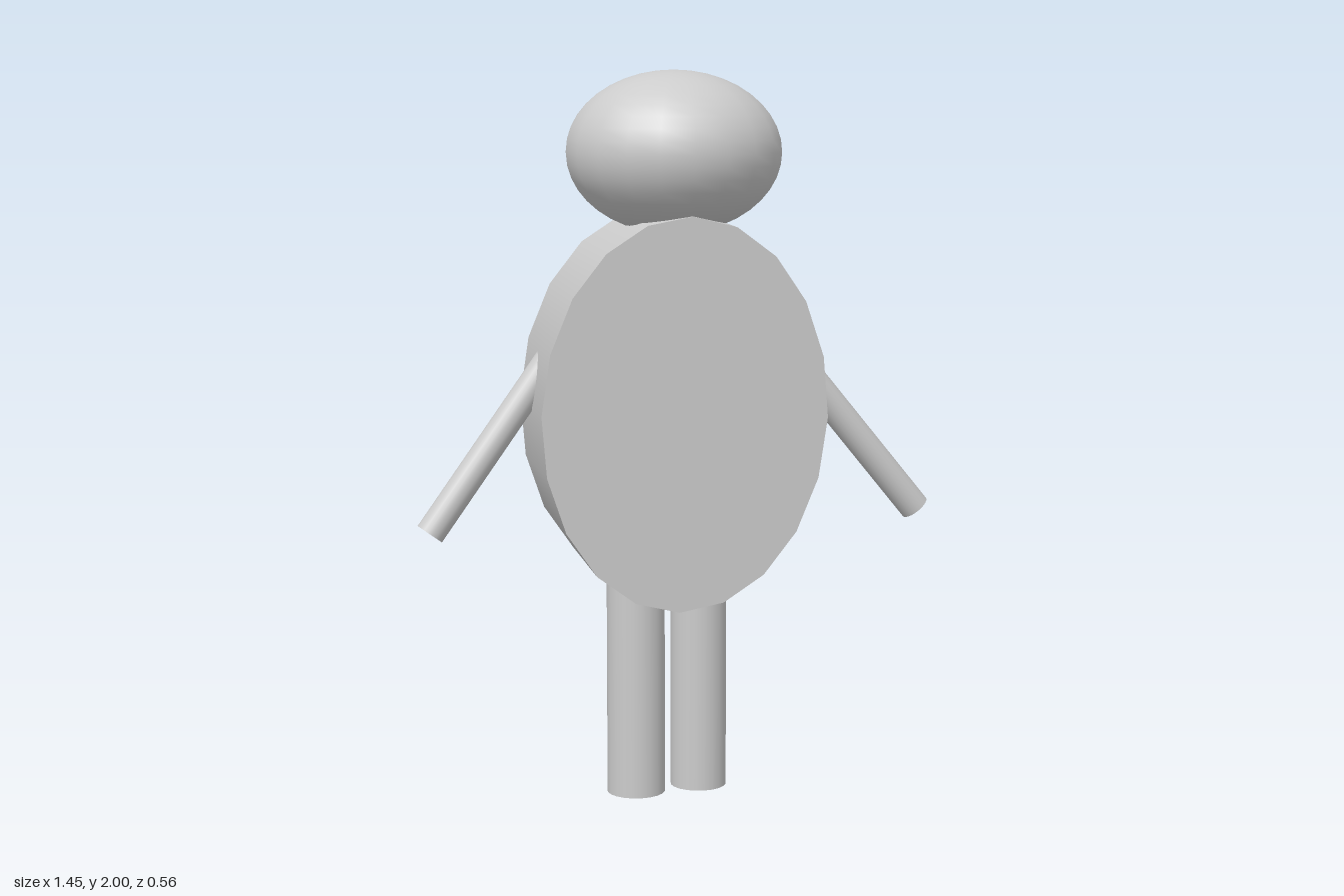
import * as THREE from 'three';

const SIDES = 20;
const material = new THREE.MeshStandardMaterial({ color: 0xcccccc });

function addMesh(group, name, geometry) {
  const mesh = new THREE.Mesh(geometry, material);
  mesh.name = name;
  group.add(mesh);
  return mesh;
}

// Round limb running between two points
function addLimb(group, name, from, to, radius) {
  const a = new THREE.Vector3(...from);
  const b = new THREE.Vector3(...to);
  const limb = addMesh(group, name, new THREE.CylinderGeometry(radius, radius, a.distanceTo(b), SIDES));
  limb.position.copy(a).add(b).multiplyScalar(0.5);
  limb.quaternion.setFromUnitVectors(new THREE.Vector3(0, 1, 0), a.sub(b).normalize());
}

export function createModel() {
  const model = new THREE.Group();
  model.name = 'figure';

  // Flat-faced oval body, leaning slightly forward and sideways
  const drum = new THREE.CylinderGeometry(1, 1, 1, SIDES);
  drum.rotateX(Math.PI / 2);
  drum.scale(0.392, 0.536, 0.376);
  const body = addMesh(model, 'body', drum);
  body.position.set(-0.018, 1.085, -0.004);
  body.rotation.set(0.019, 0, -0.03);

  // Squashed round head
  const head = addMesh(model, 'head', new THREE.SphereGeometry(1, SIDES, 20));
  head.scale.set(0.295, 0.22, 0.28);
  head.position.set(-0.014, 1.78, 0);

  // Arms, sunk into the body sides
  addLimb(model, 'leftArm', [0.3, 1.245, -0.005], [0.69, 0.773, -0.026], 0.042);
  addLimb(model, 'rightArm', [-0.3, 1.297, -0.025], [-0.693, 0.763, 0.034], 0.04);

  // Legs, sunk into the body underside
  addLimb(model, 'leftLeg', [0.058, 0.72, -0.008], [0.058, 0.01, -0.008], 0.078);
  addLimb(model, 'rightLeg', [-0.12, 0.72, -0.008], [-0.12, 0, -0.008], 0.081);

  return model;
}
